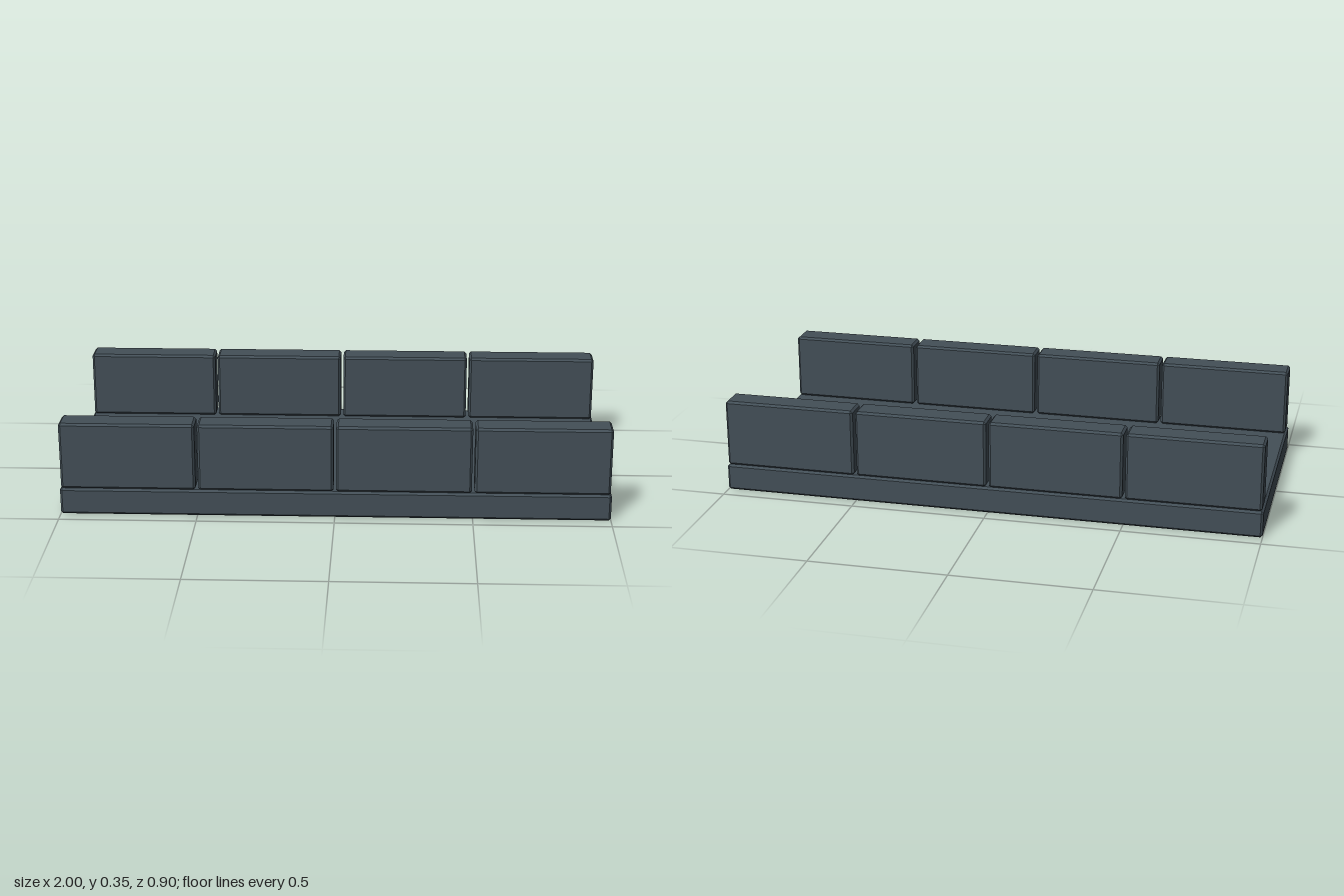
import * as THREE from 'three';
import { ConvexGeometry } from 'three/addons/geometries/ConvexGeometry.js';

// Box with every edge cut at 45 degrees: three corner points per corner
function chamferBox(w, h, d, c) {
  const points = [];
  for (const sx of [-1, 1]) for (const sy of [-1, 1]) for (const sz of [-1, 1]) {
    const x = w / 2, y = h / 2, z = d / 2;
    points.push(
      new THREE.Vector3(sx * x, sy * (y - c), sz * (z - c)),
      new THREE.Vector3(sx * (x - c), sy * y, sz * (z - c)),
      new THREE.Vector3(sx * (x - c), sy * (y - c), sz * z)
    );
  }
  return new ConvexGeometry(points);
}

export function createModel() {
  const model = new THREE.Group();
  model.name = 'walledWalkway';
  const slate = new THREE.MeshStandardMaterial({ color: 0x434f57 });
  slate.name = 'slate grey';

  // Floor slab
  const floor = new THREE.Mesh(chamferBox(2, 0.1, 0.9, 0.008), slate);
  floor.name = 'floorSlab';
  floor.position.y = 0.05;
  model.add(floor);

  // Four wall blocks along each long edge, with narrow gaps between
  const blockGeometry = chamferBox(0.49, 0.25, 0.1, 0.008);
  for (const side of [1, -1]) {
    const wall = new THREE.Group();
    wall.name = side > 0 ? 'frontWall' : 'backWall';
    for (let i = 0; i < 4; i++) {
      const block = new THREE.Mesh(blockGeometry, slate);
      block.name = 'wallBlock' + (i + 1);
      block.position.set(-0.75 + i * 0.5, 0.225, side * 0.4);
      wall.add(block);
    }
    model.add(wall);
  }
  return model;
}
